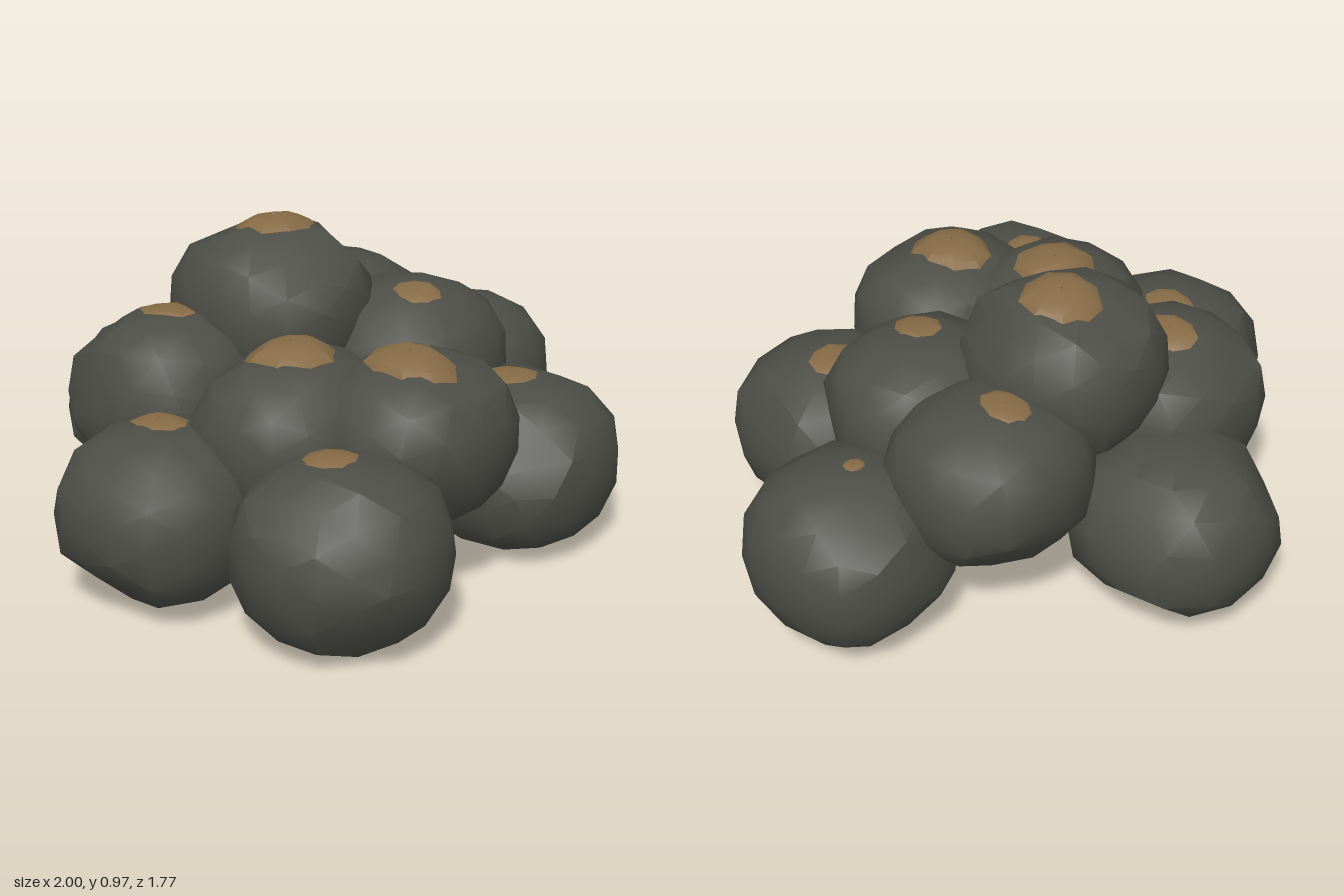
import * as THREE from 'three';
import { mergeVertices, toCreasedNormals } from 'three/addons/utils/BufferGeometryUtils.js';

const stone = new THREE.MeshStandardMaterial({ color: 0x4d4e47 });
stone.name = 'dark stone';
const ore = new THREE.MeshStandardMaterial({ color: 0x866b46 });
ore.name = 'tan ore';

// Small seeded generator
function seeded(seed) {
  let s = seed * 7919 + 17;
  const next = () => {
    s = (s * 16807) % 2147483647;
    return s / 2147483647;
  };
  for (let i = 0; i < 5; i++) next();
  return next;
}

// Boxy sphere with a few worn flats, fitted to a given size
function rockGeometry(seed, size) {
  const rand = seeded(seed);
  const power = 2.5;
  let geo = new THREE.IcosahedronGeometry(1, 2);
  geo.deleteAttribute('uv');
  geo.deleteAttribute('normal');
  geo = mergeVertices(geo, 1e-4);
  const planes = Array.from({ length: 4 }, () =>
    new THREE.Vector3(rand() - 0.5, rand() - 0.5, rand() - 0.5).normalize());
  const spin = rand() * 6;
  const pos = geo.attributes.position;
  const v = new THREE.Vector3();
  for (let i = 0; i < pos.count; i++) {
    v.fromBufferAttribute(pos, i).applyAxisAngle(THREE.Object3D.DEFAULT_UP, spin);
    const k = Math.abs(v.x) ** power + Math.abs(v.y) ** power + Math.abs(v.z) ** power;
    v.multiplyScalar(k ** (-1 / power));
    for (const d of planes) {
      const over = v.dot(d) - 0.95;
      if (over > 0) v.addScaledVector(d, -over);
    }
    pos.setXYZ(i, v.x, v.y, v.z);
  }
  geo.center();
  geo.computeBoundingBox();
  const box = geo.boundingBox.getSize(new THREE.Vector3());
  geo.scale(size[0] / box.x, size[1] / box.y, size[2] / box.z);
  return toCreasedNormals(geo, 0.6);
}

// Low dome draped over the top of a rock, its rim sunk just below the surface
function patchGeometry(seed, rock, [x, z, width, depth, rise]) {
  const rand = seeded(seed);
  const sides = 9;
  const wobble = Array.from({ length: sides }, () => 0.98 + rand() * 0.14);
  const geo = new THREE.RingGeometry(0.02, 1, sides, 4).rotateX(-Math.PI / 2);
  const pos = geo.attributes.position;
  const ray = new THREE.Raycaster();
  const down = new THREE.Vector3(0, -1, 0);
  for (let i = 0; i < pos.count; i++) {
    const r = Math.hypot(pos.getX(i), pos.getZ(i));
    const k = wobble[(i % (sides + 1)) % sides] / 2;
    const px = pos.getX(i) * k * width;
    const pz = pos.getZ(i) * k * depth;
    ray.set(new THREE.Vector3(x + px, 2, z + pz), down);
    const y = ray.intersectObject(rock)[0].point.y;
    pos.setXYZ(i, px, y + rise * (1 - r ** 3) - 0.01 * r ** 6, pz);
  }
  return toCreasedNormals(geo, 0.5);
}

// Each boulder: x, y and z ranges, then its ore patch [x, z, width, depth, rise]
const boulders = [
  { name: 'backBoulder', x: [-0.34, 0.26], y: [0.03, 0.54], z: [-0.89, -0.26] },
  { name: 'leftBackUpperBoulder', x: [-0.62, -0.01], y: [0.2, 0.72], z: [-0.6, -0.02], patch: [-0.31, -0.32, 0.18, 0.23, 0.012] },
  { name: 'rightBackUpperBoulder', x: [0.06, 0.66], y: [0.24, 0.74], z: [-0.48, 0.1], patch: [0.33, -0.23, 0.16, 0.2, 0.01] },
  { name: 'topBoulder', x: [-0.3, 0.29], y: [0.42, 0.945], z: [-0.46, 0.15], patch: [0.02, -0.17, 0.26, 0.28, 0.022] },
  { name: 'outerLeftBoulder', x: [-1, -0.4], y: [0.02, 0.53], z: [-0.31, 0.27], patch: [-0.66, -0.06, 0.17, 0.21, 0.01] },
  { name: 'outerRightBoulder', x: [0.4, 1], y: [0.03, 0.56], z: [-0.24, 0.36], patch: [0.66, 0.07, 0.08, 0.08, 0.006] },
  { name: 'leftUpperBoulder', x: [-0.69, -0.07], y: [0.2, 0.715], z: [-0.08, 0.49], patch: [-0.37, 0.19, 0.28, 0.3, 0.03] },
  { name: 'rightUpperBoulder', x: [-0.05, 0.56], y: [0.23, 0.75], z: [-0.12, 0.47], patch: [0.21, 0.24, 0.17, 0.18, 0.008] },
  { name: 'frontLeftBoulder', x: [-0.91, -0.32], y: [0.01, 0.54], z: [0.26, 0.85], patch: [-0.6, 0.5, 0.18, 0.19, 0.01] },
  { name: 'frontUpperBoulder', x: [-0.51, 0.1], y: [0.23, 0.715], z: [0.24, 0.79], patch: [-0.23, 0.51, 0.25, 0.31, 0.03] },
  { name: 'frontRightBoulder', x: [-0.05, 0.57], y: [0, 0.52], z: [0.25, 0.88], patch: [0.28, 0.54, 0.2, 0.2, 0.01] },
];

export function createModel() {
  const model = new THREE.Group();
  model.name = 'boulderPile';
  const mid = (r) => (r[0] + r[1]) / 2;
  const span = (r) => r[1] - r[0];

  boulders.forEach((b, i) => {
    // Boulder
    const rock = new THREE.Mesh(rockGeometry(i + 1, [span(b.x), span(b.y), span(b.z)]), stone);
    rock.name = b.name;
    rock.position.set(mid(b.x), mid(b.y), mid(b.z));
    rock.updateMatrixWorld();
    model.add(rock);
    if (!b.patch) return;

    // Ore patch on its upper surface
    const patch = new THREE.Mesh(patchGeometry(i + 31, rock, b.patch), ore);
    patch.name = 'orePatch';
    patch.position.set(b.patch[0], 0, b.patch[1]);
    model.add(patch);
  });
  return model;
}
